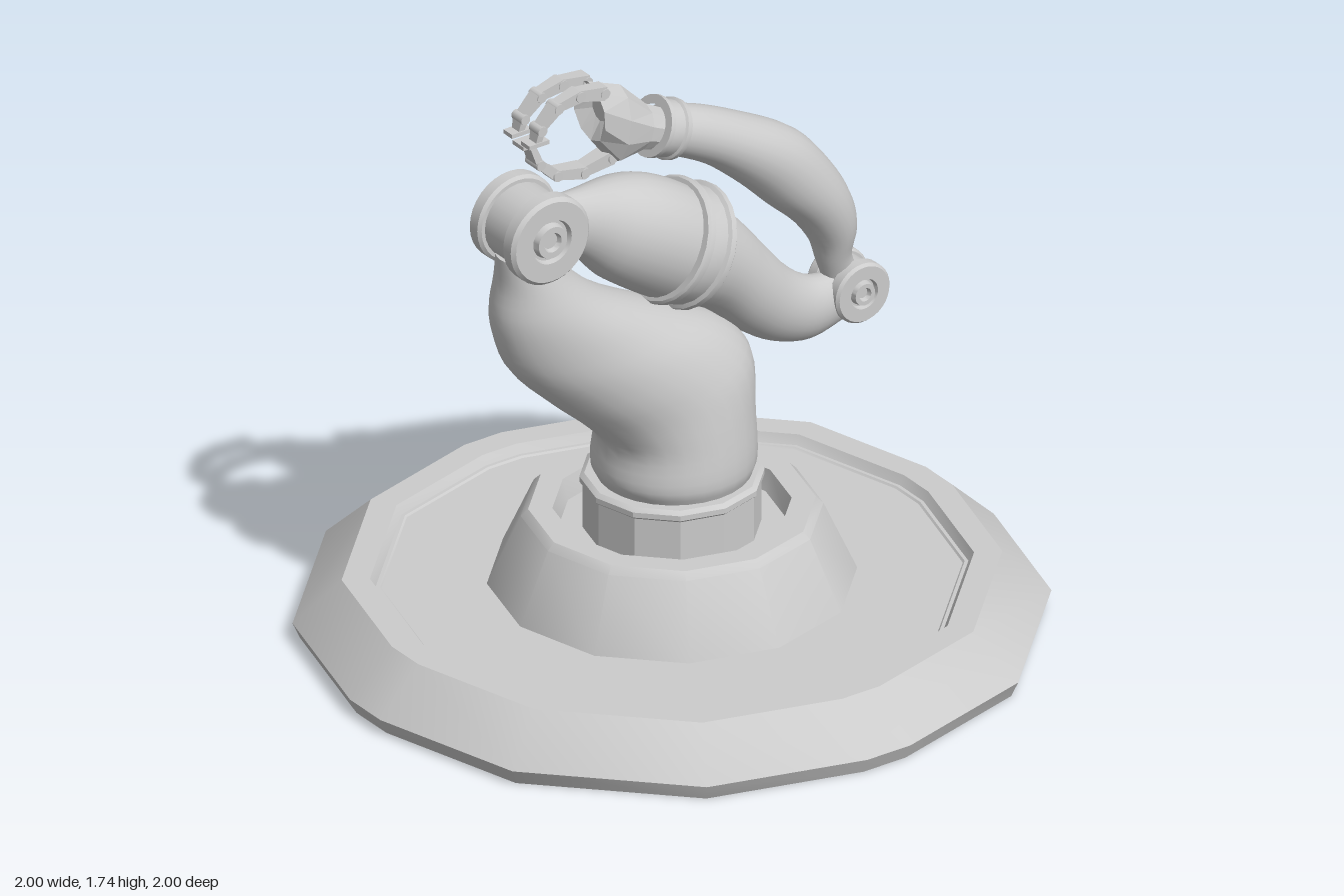
import * as THREE from 'three';
import { toCreasedNormals } from 'three/addons/utils/BufferGeometryUtils.js';

const smooth = new THREE.MeshStandardMaterial({ color: 0xcccccc });
const faceted = new THREE.MeshStandardMaterial({ color: 0xcccccc, flatShading: true });

function part(parent, name, geometry, material = smooth) {
  const mesh = new THREE.Mesh(geometry, material);
  mesh.name = name;
  parent.add(mesh);
  return mesh;
}

function lathe(profile, sides) {
  return new THREE.LatheGeometry(profile.map(([r, y]) => new THREE.Vector2(r, y)), sides);
}

// Limb skin: each section is [leftX, leftY, rightX, rightY, half depth], sides seen along the travel
function limb(sections, sides, steps) {
  const left = new THREE.CatmullRomCurve3(sections.map(s => new THREE.Vector3(s[0], s[1], s[4])));
  const right = new THREE.CatmullRomCurve3(sections.map(s => new THREE.Vector3(s[2], s[3], s[4])));
  const rows = (sections.length - 1) * steps;
  const pos = [], index = [];
  for (let i = 0; i <= rows; i++) {
    const a = left.getPoint(i / rows), b = right.getPoint(i / rows);
    for (let j = 0; j < sides; j++) {
      const t = (j / sides) * Math.PI * 2, c = Math.cos(t) / 2;
      pos.push((a.x + b.x) / 2 + (a.x - b.x) * c, (a.y + b.y) / 2 + (a.y - b.y) * c, a.z * Math.sin(t));
    }
  }
  for (let i = 0; i < rows; i++) for (let j = 0; j < sides; j++) {
    const k = (j + 1) % sides, a = i * sides + j, b = i * sides + k;
    index.push(a, b, a + sides, b, b + sides, a + sides);
  }
  // End caps
  const last = rows * sides;
  for (let j = 1; j < sides - 1; j++) index.push(0, j + 1, j, last, last + j, last + j + 1);
  const g = new THREE.BufferGeometry();
  g.setAttribute('position', new THREE.Float32BufferAttribute(pos, 3));
  g.setIndex(index);
  return toCreasedNormals(g, 0.8);
}

// Pair of mirrored joint wheels with a rim, a dished face and a hub
function joint(parent, name, x, y, r, inner, outer) {
  const d = outer - inner;
  const profile = [[0, inner], [r * 0.93, inner], [r, inner + d * 0.15], [r, outer - d * 0.2], [r * 0.92, outer],
    [r * 0.5, outer], [r * 0.46, outer - 0.015], [r * 0.4, outer - 0.015], [r * 0.36, outer + 0.004],
    [r * 0.22, outer + 0.004], [r * 0.18, outer - 0.01], [0, outer - 0.01]];
  const group = new THREE.Group();
  group.name = name;
  for (const side of [1, -1]) {
    const wheel = part(group, 'jointWheel', toCreasedNormals(lathe(profile, 32), 0.5));
    wheel.rotation.x = side * Math.PI / 2;
  }
  const pin = part(group, 'jointPin', new THREE.CylinderGeometry(r * 0.85, r * 0.85, inner * 2 + 0.01, 24));
  pin.rotation.x = Math.PI / 2;
  group.position.set(x, y, 0);
  parent.add(group);
}

// Collar whose axis points along the given angle in the front plane
function collar(parent, name, x, y, angle, profile) {
  const mesh = part(parent, name, toCreasedNormals(lathe(profile, 24), 0.5));
  mesh.position.set(x, y, 0);
  mesh.rotation.z = angle - Math.PI / 2;
}

// Finger made of tapering bars along a path of [x, y] joints
function finger(parent, name, path, z, depth) {
  const group = new THREE.Group();
  group.name = name;
  for (let i = 0; i < path.length - 1; i++) {
    const [x0, y0] = path[i], [x1, y1] = path[i + 1];
    const thick = 0.04 - i * 0.006;
    const g = new THREE.CylinderGeometry(thick * 0.55, thick * 0.72, Math.hypot(x1 - x0, y1 - y0) + 0.006, 4);
    g.rotateY(Math.PI / 4);
    g.scale(1, 1, depth / thick);
    const bar = part(group, 'fingerSegment', g, faceted);
    bar.position.set((x0 + x1) / 2, (y0 + y1) / 2, z);
    bar.rotation.z = Math.atan2(y1 - y0, x1 - x0) - Math.PI / 2;
    const knuckle = part(group, 'knuckle', new THREE.CylinderGeometry(0.015, 0.015, depth * 1.15, 10));
    knuckle.position.set(x0, y0, z);
    knuckle.rotation.x = Math.PI / 2;
  }
  const [tx, ty] = path[path.length - 1];
  part(group, 'fingertip', new THREE.BoxGeometry(0.065, 0.012, depth), faceted).position.set(tx, ty, z);
  parent.add(group);
}

export function createModel() {
  const model = new THREE.Group();
  model.name = 'robotArm';

  // Base plate: twelve-sided with its four axis corners trimmed
  const plate = lathe([[0, 0], [0.985, 0], [1.005, 0.045], [0.875, 0.17], [0.8, 0.17], [0.785, 0.145],
    [0.775, 0.145], [0.77, 0.14], [0, 0.14]], 16);
  const p = plate.attributes.position;
  const corners = [4, 30, 60, 86];
  for (let i = 0; i < p.count; i++) {
    const column = Math.floor(i / 9) % 16, r = Math.hypot(p.getX(i), p.getZ(i));
    const a = THREE.MathUtils.degToRad(corners[column % 4] + 90 * Math.floor(column / 4));
    const grow = column % 4 === 1 || column % 4 === 2 ? 1.01 : 0.998;
    p.setX(i, r * grow * Math.sin(a));
    p.setZ(i, r * grow * Math.cos(a));
  }
  part(model, 'basePlate', toCreasedNormals(plate, 0.55));

  // Turntable cone with a recessed well, and the pedestal standing in it
  part(model, 'turntable', toCreasedNormals(lathe([[0.5, 0.13], [0.405, 0.34], [0.385, 0.36], [0.32, 0.36],
    [0.305, 0.3], [0, 0.3]], 12), 0.55));
  part(model, 'pedestal', toCreasedNormals(lathe([[0.24, 0.29], [0.24, 0.43], [0.248, 0.437], [0.248, 0.452],
    [0.235, 0.462], [0, 0.462]], 12), 0.4));

  // Lower arm, rising from the pedestal to the shoulder joint
  part(model, 'lowerArm', limb([
    [-0.2, 0.455, 0.215, 0.455, 0.205], [-0.22, 0.5, 0.23, 0.5, 0.22], [-0.215, 0.6, 0.23, 0.64, 0.21],
    [-0.27, 0.67, 0.225, 0.8, 0.193], [-0.39, 0.78, 0.15, 0.89, 0.175], [-0.53, 0.93, -0.04, 0.99, 0.15],
    [-0.575, 1.08, -0.26, 1.11, 0.128], [-0.56, 1.19, -0.365, 1.215, 0.1], [-0.56, 1.27, -0.38, 1.27, 0.08],
  ], 28, 4));
  joint(model, 'shoulderJoint', -0.465, 1.34, 0.128, 0.052, 0.105);

  // Middle arm, from the shoulder joint down to the elbow joint
  part(model, 'middleArm', limb([
    [-0.46, 1.42, -0.46, 1.26, 0.045], [-0.34, 1.405, -0.34, 1.225, 0.06], [-0.17, 1.4, -0.25, 1.13, 0.12],
    [-0.06, 1.37, -0.14, 1.05, 0.145], [0.1, 1.27, -0.03, 0.985, 0.145], [0.2, 1.17, 0.09, 0.93, 0.125],
    [0.29, 1.06, 0.2, 0.83, 0.105], [0.38, 0.955, 0.31, 0.76, 0.085], [0.46, 0.905, 0.43, 0.728, 0.068],
    [0.57, 0.905, 0.56, 0.755, 0.05],
  ], 28, 4));
  collar(model, 'middleArmClamp', 0.022, 1.142, -0.49, [[0.13, -0.053], [0.17, -0.053], [0.176, -0.047],
    [0.176, -0.03], [0.165, -0.025], [0.165, 0.025], [0.176, 0.03], [0.176, 0.047], [0.17, 0.053], [0.13, 0.053]]);
  joint(model, 'elbowJoint', 0.575, 0.845, 0.088, 0.03, 0.075);

  // Forearm, bending back from the elbow joint up to the wrist
  part(model, 'forearm', limb([
    [0.505, 0.85, 0.63, 0.85, 0.028], [0.48, 0.93, 0.575, 0.95, 0.05], [0.46, 1.0, 0.585, 1.05, 0.075],
    [0.4, 1.085, 0.565, 1.14, 0.092], [0.31, 1.17, 0.5, 1.255, 0.1], [0.22, 1.26, 0.4, 1.37, 0.098],
    [0.1, 1.36, 0.22, 1.475, 0.085], [0.01, 1.41, 0.08, 1.54, 0.073], [-0.07, 1.445, -0.02, 1.57, 0.066],
  ], 24, 4));
  collar(model, 'wristCuff', -0.035, 1.508, 2.72, [[0.06, -0.038], [0.084, -0.038], [0.086, -0.022], [0.079, -0.018],
    [0.079, 0.02], [0.086, 0.024], [0.086, 0.038], [0.06, 0.038]]);

  // Hand, flaring to a hollowed palm
  part(model, 'hand', limb([
    [-0.07, 1.455, -0.03, 1.565, 0.058], [-0.12, 1.47, -0.085, 1.595, 0.06], [-0.2, 1.455, -0.17, 1.68, 0.072],
    [-0.265, 1.54, -0.275, 1.722, 0.076], [-0.235, 1.59, -0.235, 1.665, 0.035],
  ], 10, 1), faceted);

  // Two upper fingers and one opposing thumb meeting at flat tips
  for (const side of [1, -1]) {
    finger(model, 'upperFinger', [[-0.26, 1.705], [-0.34, 1.72], [-0.41, 1.705], [-0.465, 1.655], [-0.475, 1.617]],
      side * 0.04, 0.04);
  }
  finger(model, 'thumb', [[-0.21, 1.48], [-0.3, 1.462], [-0.39, 1.48], [-0.445, 1.53], [-0.47, 1.598]], 0, 0.05);

  return model;
}
